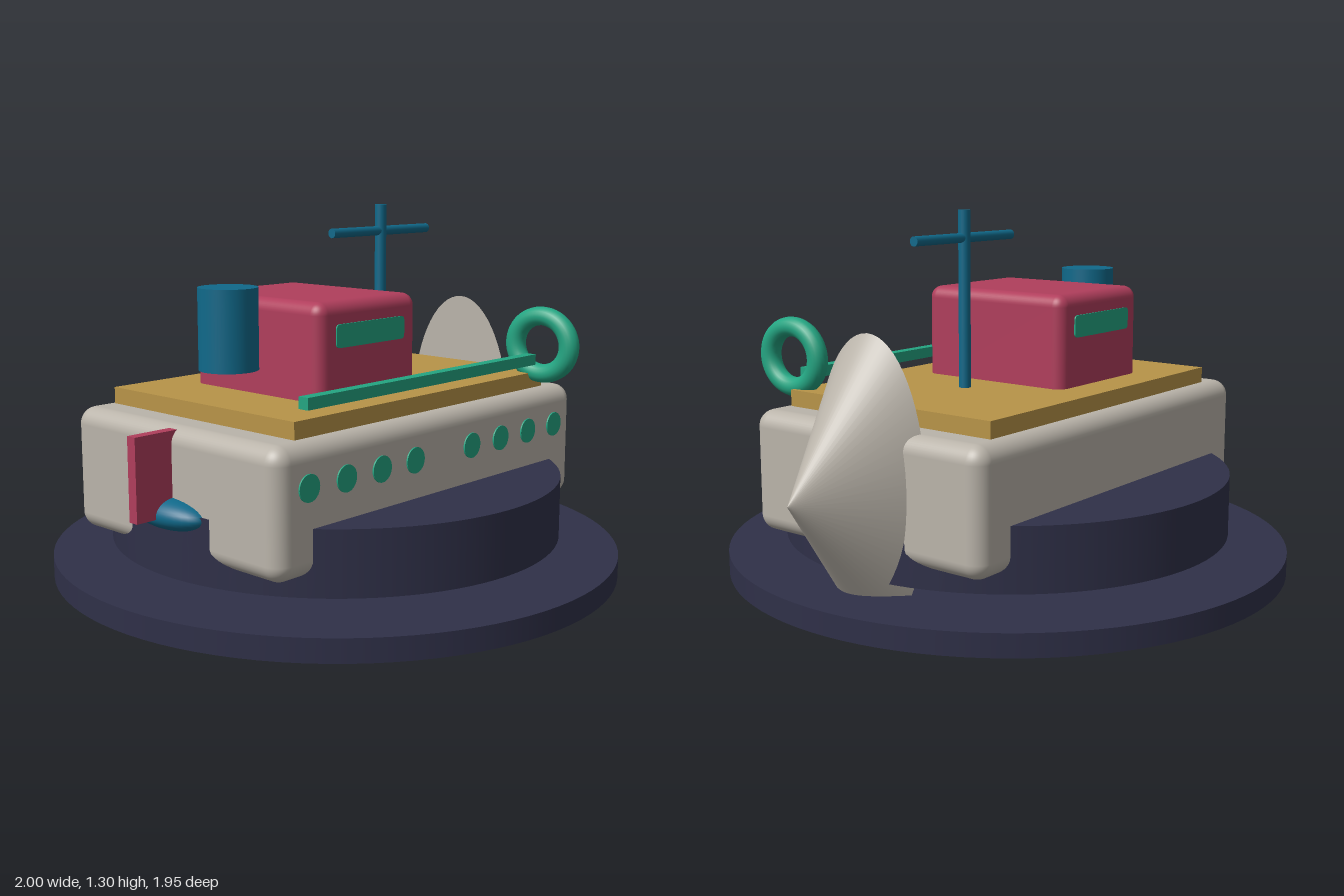
import * as THREE from 'three';
import { RoundedBoxGeometry } from 'three/addons/geometries/RoundedBoxGeometry.js';

const paint = (name, color) => {
  const m = new THREE.MeshStandardMaterial({ color });
  m.name = name;
  return m;
};

export function createModel() {
  const model = new THREE.Group();
  model.name = 'boat';

  const navy = paint('navy', 0x2f3048);
  const stone = paint('stone', 0xbab4aa);
  const gold = paint('gold', 0xb89448);
  const crimson = paint('crimson', 0xb03e5c);
  const blue = paint('blue', 0x10698a);
  const green = paint('green', 0x24a582);

  const add = (name, geometry, material, x, y, z) => {
    const mesh = new THREE.Mesh(geometry, material);
    mesh.name = name;
    mesh.position.set(x, y, z);
    model.add(mesh);
    return mesh;
  };

  // Two stacked round discs under the hull
  add('baseDisc', new THREE.CylinderGeometry(0.963, 0.963, 0.075, 96), navy, -0.037, 0.108, 0).scale.z = 1.011;
  add('upperDisc', new THREE.CylinderGeometry(0.765, 0.765, 0.21, 96), navy, -0.037, 0.295, 0).scale.z = 1.011;

  // Hull, deck and bow
  add('hull', new RoundedBoxGeometry(1.485, 0.405, 0.955, 5, 0.055), stone, -0.037, 0.453, 0);
  add('deck', new THREE.BoxGeometry(1.24, 0.06, 0.84), gold, -0.035, 0.68, 0);
  const bowShape = new THREE.ConeGeometry(0.47, 0.345, 64);
  bowShape.rotateZ(-Math.PI / 2);
  add('bow', bowShape, stone, 0.8275, 0.47, 0).scale.z = 0.49;

  // Cabin with a window on each side
  add('cabin', new RoundedBoxGeometry(0.465, 0.36, 0.58, 5, 0.04), crimson, -0.183, 0.84, 0);
  const w = 0.16, h = 0.037, r = 0.016;
  const pane = new THREE.Shape();
  pane.moveTo(-w + r, -h);
  pane.lineTo(w - r, -h);
  pane.quadraticCurveTo(w, -h, w, -h + r);
  pane.lineTo(w, h - r);
  pane.quadraticCurveTo(w, h, w - r, h);
  pane.lineTo(-w + r, h);
  pane.quadraticCurveTo(-w, h, -w, h - r);
  pane.lineTo(-w, -h + r);
  pane.quadraticCurveTo(-w, -h, -w + r, -h);
  const paneGeometry = new THREE.ExtrudeGeometry(pane, { depth: 0.008, bevelEnabled: false });
  paneGeometry.translate(0, 0, -0.004);
  for (const side of [1, -1]) {
    add('cabinWindow', paneGeometry, green, -0.183, 0.913, side * 0.291);
  }

  // Portholes along the front side, in two groups of four
  const porthole = new THREE.CylinderGeometry(0.042, 0.042, 0.008, 32);
  porthole.rotateX(Math.PI / 2);
  for (const start of [-0.655, 0.108]) {
    for (let i = 0; i < 4; i++) add('porthole', porthole, green, start + i * 0.158, 0.525, 0.4785);
  }

  // Funnel
  add('funnel', new THREE.CylinderGeometry(0.095, 0.095, 0.26, 48), blue, -0.525, 0.93, 0);

  // Mast and crossbar
  add('mast', new THREE.CylinderGeometry(0.02, 0.02, 0.595, 24), blue, 0.193, 0.998, 0);
  const bar = new THREE.CylinderGeometry(0.016, 0.016, 0.495, 24);
  bar.rotateZ(Math.PI / 2);
  add('crossbar', bar, blue, 0.193, 1.205, 0);

  // Side rail and life ring
  add('rail', new THREE.BoxGeometry(1.14, 0.037, 0.038), green, -0.045, 0.758, 0.417);
  const ring = new THREE.TorusGeometry(0.111, 0.036, 20, 56);
  ring.rotateY(Math.PI / 2);
  add('lifeRing', ring, green, 0.537, 0.811, 0.453).scale.set(0.93, 0.91, 1);

  // Stern: rudder and propeller hub
  add('rudder', new THREE.BoxGeometry(0.17, 0.265, 0.036), crimson, -0.832, 0.513, 0);
  add('propeller', new THREE.SphereGeometry(1, 32, 20), blue, -0.775, 0.387, 0).scale.set(0.072, 0.05, 0.16);

  return model;
}
